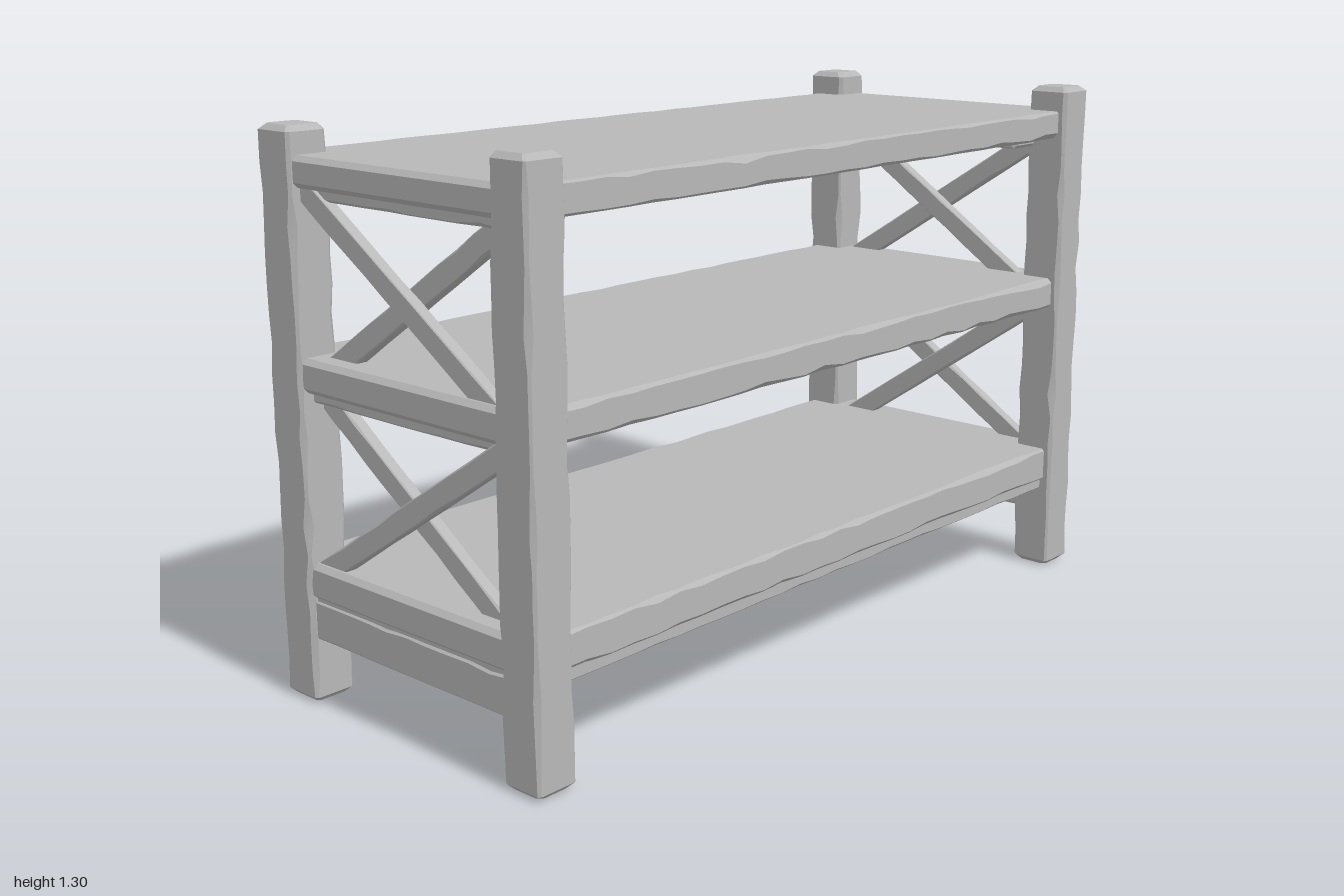
import * as THREE from 'three';
import { toCreasedNormals } from 'three/addons/utils/BufferGeometryUtils.js';

const wood = new THREE.MeshStandardMaterial({ color: 0xb8b8b8 });
wood.name = 'plain wood';

// Small seeded generator for the worn edges
let seed = 7;
const rand = () => (seed = (seed * 16807) % 2147483647) / 2147483647;

// Beam along local y: eight-sided rings whose chamfers vary like worn timber
function beamGeometry(w, length, d, bevel, step = 0.07) {
  const hw = w / 2, hd = d / 2, hl = length / 2;
  const n = Math.max(2, Math.round(length / step));
  const levels = [[-hl, bevel]];
  for (let i = 0; i <= n; i++) levels.push([-hl + bevel + (length - 2 * bevel) * i / n, 0]);
  levels.push([hl, bevel]);

  const pos = [], index = [];
  for (const [y, inset] of levels) {
    const a = hw - inset, b = hd - inset;
    for (const [sx, sz] of [[1, -1], [-1, -1], [-1, 1], [1, 1]]) {
      const c = bevel * (0.35 + 1.1 * rand() * rand());
      const side = [sx * a, y, sz * (b - c)], face = [sx * (a - c), y, sz * b];
      if (sx * sz < 0) pos.push(...side, ...face);
      else pos.push(...face, ...side);
    }
  }
  const last = (levels.length - 1) * 8;
  for (let r = 0; r < last; r += 8) {
    for (let j = 0; j < 8; j++) {
      const k = (j + 1) % 8;
      index.push(r + j, r + k, r + 8 + k, r + j, r + 8 + k, r + 8 + j);
    }
  }
  for (let j = 1; j < 7; j++) {
    index.push(last, last + j, last + j + 1, 0, j + 1, j);
  }
  const g = new THREE.BufferGeometry();
  g.setAttribute('position', new THREE.Float32BufferAttribute(pos, 3));
  g.setIndex(index);
  return toCreasedNormals(g, 0.5);
}

function addBeam(parent, name, geometry, x, y, z, rx = 0, rz = 0) {
  const mesh = new THREE.Mesh(geometry, wood);
  mesh.name = name;
  mesh.position.set(x, y, z);
  mesh.rotation.set(rx, 0, rz);
  parent.add(mesh);
}

// Boards running along x and z, given by their bottom and top heights
function boardX(parent, name, length, y0, y1, depth, bevel) {
  addBeam(parent, name, beamGeometry(y1 - y0, length, depth, bevel), 0, (y0 + y1) / 2, 0, 0, Math.PI / 2);
}
function boardZ(parent, name, x0, x1, y0, y1, length, bevel) {
  addBeam(parent, name, beamGeometry(x1 - x0, length, y1 - y0, bevel), (x0 + x1) / 2, (y0 + y1) / 2, 0, Math.PI / 2);
}

// Diagonal brace between two points (z, y) in the end frame
function brace(parent, x, z0, y0, z1, y1) {
  const dz = z1 - z0, dy = y1 - y0;
  addBeam(parent, 'brace', beamGeometry(0.03, Math.hypot(dz, dy), 0.052, 0.005),
    x, (y0 + y1) / 2, (z0 + z1) / 2, Math.atan2(dz, dy));
}

function endFrame() {
  const g = new THREE.Group();
  g.name = 'endFrame';
  for (const z of [0.366, -0.366]) {
    addBeam(g, 'post', beamGeometry(0.104, 1.3, 0.108, 0.013), 0.9425, 0.65, z);
  }
  // Cleats carrying the shelves
  for (const [y0, y1] of [[1.143, 1.18], [0.695, 0.73], [0.19, 0.23]]) {
    boardZ(g, 'cleat', 0.8, 0.96, y0, y1, 0.66, 0.008);
  }
  // Deep bottom rail with worn gaps under the shelf end
  boardZ(g, 'bottomRail', 0.9, 0.983, 0.152, 0.242, 0.68, 0.007);
  boardZ(g, 'bottomRailCore', 0.905, 0.978, 0.2, 0.28, 0.66, 0.004);
  // Crossed braces, the second of each pair set behind the first
  brace(g, 0.953, 0.335, 1.18, -0.335, 0.745);
  brace(g, 0.92, -0.335, 1.18, 0.3, 0.755);
  brace(g, 0.953, -0.335, 0.72, 0.335, 0.285);
  brace(g, 0.92, 0.335, 0.72, -0.3, 0.285);
  return g;
}

export function createModel() {
  seed = 7;
  const model = new THREE.Group();
  model.name = 'shelfUnit';

  // Three shelves
  boardX(model, 'topShelf', 1.97, 1.168, 1.238, 0.8, 0.012);
  boardX(model, 'middleShelf', 1.97, 0.72, 0.798, 0.8, 0.012);
  boardX(model, 'bottomShelf', 1.97, 0.245, 0.33, 0.8, 0.012);
  boardX(model, 'bottomShelfUnderlay', 1.94, 0.218, 0.252, 0.78, 0.006);

  // Two end frames, one turned half round
  for (const turn of [0, Math.PI]) {
    const frame = endFrame();
    frame.rotation.y = turn;
    model.add(frame);
  }
  model.position.x = -0.005;
  return model;
}
